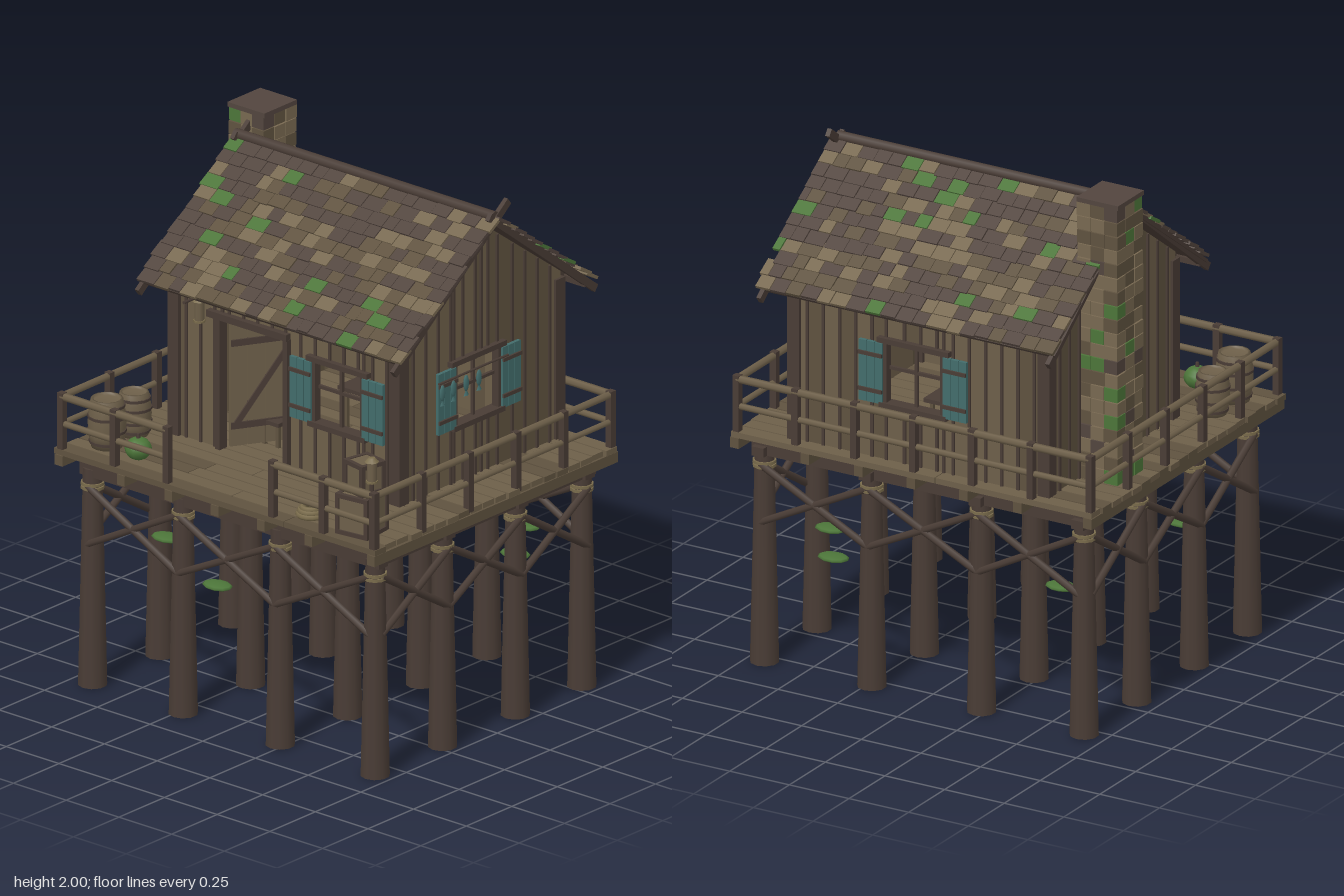
import * as THREE from 'three';
import { mergeGeometries } from 'three/addons/utils/BufferGeometryUtils.js';

const mat = (name, color) => Object.assign(new THREE.MeshStandardMaterial({ color }), { name });
const M = {
  wood: mat('weathered wood', 0x6d5f49), worn: mat('worn wood', 0x5f523f), dark: mat('dark timber', 0x493c35),
  shingle: mat('brown shingle', 0x52453e), tan: mat('tan shingle', 0x776850), moss: mat('moss green', 0x4c7539),
  teal: mat('teal paint', 0x426c6b), rope: mat('rope', 0x7a6c4c),
};
const V = (x, y, z) => new THREE.Vector3(x, y, z);

export function createModel() {
  const root = new THREE.Group();
  root.name = 'stiltCabin';
  let seed = 7;
  const rnd = () => (seed = (seed * 16807) % 2147483647) / 2147483647;
  const pick = (...pairs) => { // pick('wood', 0.5, 'dark', 0.5)
    let r = rnd();
    for (let i = 0; i < pairs.length; i += 2) if ((r -= pairs[i + 1]) <= 0) return pairs[i];
    return pairs[0];
  };

  // Collect pieces per part and colour, then merge them at the end
  const parts = new Map();
  let frame = new THREE.Matrix4();
  const add = (part, m, geo) => {
    const key = part + '|' + m, g = geo.index ? geo.toNonIndexed() : geo;
    if (!parts.has(key)) parts.set(key, []);
    parts.get(key).push(g.applyMatrix4(frame));
  };
  const box = (part, m, w, h, d, x, y, z, rx = 0, ry = 0, rz = 0) =>
    add(part, m, new THREE.BoxGeometry(w, h, d).rotateX(rx).rotateZ(rz).rotateY(ry).translate(x, y, z));
  const cyl = (part, m, rt, rb, h, x, y, z, n = 10) =>
    add(part, m, new THREE.CylinderGeometry(rt, rb, h, n).translate(x, y, z));
  const orient = (geo, p, q) => geo.applyQuaternion(new THREE.Quaternion().setFromUnitVectors(V(0, 1, 0),
    q.clone().sub(p).normalize())).translate((p.x + q.x) / 2, (p.y + q.y) / 2, (p.z + q.z) / 2);
  const rod = (part, m, p, q, r, n = 6) => add(part, m, orient(new THREE.CylinderGeometry(r, r, p.distanceTo(q), n), p, q));
  const beam = (part, m, p, q, w, d) => add(part, m, orient(new THREE.BoxGeometry(w, p.distanceTo(q), d), p, q));

  // Piles, rope lashings and main beams
  const px = [-0.66, -0.23, 0.23, 0.68], pz = [0.59, 0.22, -0.18, -0.545];
  for (const x of px) for (const z of pz) {
    cyl('piles', 'dark', 0.036, 0.054, 0.84, x, 0.42, z);
    if (x === px[0] || x === px[3] || z === pz[0] || z === pz[3])
      for (const y of [0.765, 0.78]) cyl('lashings', 'rope', 0.044, 0.044, 0.011, x, y, z);
  }
  for (const z of pz) box('beams', 'dark', 1.42, 0.055, 0.05, 0.01, 0.838, z);
  for (const x of px) box('beams', 'dark', 0.05, 0.035, 1.21, x, 0.828, 0.01);
  for (const x of [-0.74, -0.445, -0.22, 0, 0.22, 0.445, 0.74]) box('joists', 'worn', 0.036, 0.04, 1.34, x, 0.872, 0.015);

  // Cross braces between neighbouring outer piles
  for (let i = 0; i < 3; i++) for (const [a, b] of [[0.775, 0.55], [0.55, 0.775]]) {
    for (const z of [pz[0] + 0.03, pz[3] - 0.03]) rod('braces', 'dark', V(px[i], a, z), V(px[i + 1], b, z), 0.014);
    for (const x of [px[0] - 0.03, px[3] + 0.03]) rod('braces', 'dark', V(x, a, pz[i]), V(x, b, pz[i + 1]), 0.014);
  }
  // Shelf fungus on the piles
  for (const [x, z] of [[0.34, -0.63], [-0.5, -0.44], [-0.12, 0.53], [-0.56, 0.3], [0.49, -0.4]])
    add('shelfFungus', 'moss', new THREE.SphereGeometry(1, 10, 6).scale(0.062, 0.012, 0.045).translate(x, 0.505, z));

  // Deck planks, each in two lengths
  for (let i = 0; i < 20; i++) {
    const z = -0.62 + i * 0.0668, l = -0.755 - rnd() * 0.015, r = 0.745 + rnd() * 0.015, c = -0.3 + rnd() * 0.7;
    box('deck', pick('wood', 0.75, 'worn', 0.25), c - l - 0.003, 0.022, 0.06, (c + l) / 2, 0.902, z);
    box('deck', pick('wood', 0.75, 'worn', 0.25), r - c - 0.003, 0.022, 0.06, (c + r) / 2, 0.902, z);
  }

  // Railing with a gap at the front
  const rail = (x0, z0, x1, z1, n) => {
    for (const y of [1.01, 1.115]) rod('railing', 'wood', V(x0, y, z0), V(x1, y, z1), y > 1.1 ? 0.015 : 0.012);
    for (let i = 0; i <= n; i++)
      box('railPosts', 'dark', 0.026, 0.23, 0.026, x0 + (x1 - x0) * i / n, 1.015, z0 + (z1 - z0) * i / n);
  };
  rail(-0.74, 0.665, -0.24, 0.665, 2);
  rail(0.26, 0.665, 0.74, 0.665, 2);
  rail(-0.74, -0.635, 0.74, -0.635, 6);
  for (const x of [-0.74, 0.74]) rail(x, 0.665, x, -0.635, 5);

  // Walls of vertical planks, built facing +z and then turned into place
  const ridgeZ = -0.15, ridgeY = 1.9, pitch = 0.73;
  const roofY = z => ridgeY - pitch * Math.abs(z - ridgeZ);
  const wall = (turn, x, z, u0, u1, top, apex, holes) => {
    frame = new THREE.Matrix4().makeRotationY(turn).setPosition(x, 0, z);
    const cuts = [u0, u1, ...(apex === null ? [] : [apex]), ...holes.flatMap(h => [h[0], h[1]])];
    for (let u = u0 + 0.068; u < u1 - 0.03; u += 0.068) if (cuts.every(c => Math.abs(c - u) > 0.015)) cuts.push(u);
    cuts.sort((a, b) => a - b);
    for (let i = 0; i < cuts.length - 1; i++) {
      const a = cuts[i], b = cuts[i + 1], m = pick('wood', 0.7, 'worn', 0.3);
      const h = holes.find(o => a > o[0] - 0.001 && b < o[1] + 0.001);
      const spans = h ? [[0.91, h[2]], [h[3], null]] : [[0.91, null]];
      for (const [y0, y1] of spans) {
        if (y1 !== null && y1 - y0 < 0.01) continue;
        const shape = new THREE.Shape([[a, y0], [b, y0], [b, y1 ?? top(b)], [a, y1 ?? top(a)]].map(p => new THREE.Vector2(...p)));
        add('walls', m, new THREE.ExtrudeGeometry(shape, { depth: 0.02, bevelEnabled: false }).translate(0, 0, -0.02));
        const hi = (y1 ?? top(a)) - 0.005;
        if (i) box('battens', 'dark', 0.011, hi - y0, 0.008, a, (hi + y0) / 2, 0.003);
      }
    }
  };
  const trim = (w, h, u, y, d = 0.03) => box('trim', 'dark', w, h, d, u, y, 0);
  const windowSet = (a, b) => { // frame, bars and two open shutters
    const c = (a + b) / 2, w = b - a;
    trim(w + 0.06, 0.02, c, 1.38, 0.045);
    trim(w + 0.04, 0.02, c, 1.13, 0.05);
    for (const u of [a, b]) trim(0.016, 0.25, u, 1.255);
    box('windowBars', 'dark', 0.012, 0.24, 0.012, c, 1.255, -0.01);
    box('windowBars', 'dark', w, 0.012, 0.012, c, 1.27, -0.01);
    for (const u of [a - 0.056, b + 0.056]) {
      for (const s of [-0.034, 0, 0.034]) box('shutters', 'teal', 0.031, 0.235, 0.014, u + s, 1.25, 0.016);
      for (const y of [1.18, 1.32]) box('shutterBars', 'dark', 0.1, 0.014, 0.008, u, y, 0.026);
    }
  };
  const eave = () => 1.545;
  wall(0, 0, 0.29, -0.54, 0.54, eave, null, [[-0.3, 0, 0.91, 1.42], [0.14, 0.37, 1.13, 1.37]]);
  windowSet(0.14, 0.37);
  trim(0.38, 0.026, -0.17, 1.43, 0.05);
  for (const u of [-0.31, 0.01]) trim(0.022, 0.51, u, 1.165, 0.04);
  wall(Math.PI, 0, -0.59, -0.54, 0.54, eave, null, [[-0.14, 0.1, 1.13, 1.37]]);
  windowSet(-0.14, 0.1);
  wall(Math.PI / 2, 0.54, 0, -0.29, 0.59, u => roofY(-u) - 0.025, 0.15, [[0, 0.24, 1.13, 1.37]]);
  windowSet(0, 0.24);
  wall(-Math.PI / 2, -0.54, 0, -0.59, 0.29, u => roofY(u) - 0.025, -0.15, []);
  frame = new THREE.Matrix4();
  for (const x of [-0.525, 0.525]) for (const z of [0.28, -0.58]) box('cornerPosts', 'dark', 0.05, 0.62, 0.05, x, 1.22, z);

  // Door leaf swung inward, stool and table inside
  frame = new THREE.Matrix4().makeRotationY(1.05).setPosition(-0.29, 0, 0.27);
  for (let i = 0; i < 4; i++) box('door', 'wood', 0.064, 0.48, 0.016, 0.035 + i * 0.067, 1.16, 0);
  for (const y of [1.0, 1.32]) box('doorBraces', 'dark', 0.26, 0.025, 0.03, 0.135, y, 0);
  beam('doorBraces', 'dark', V(0.02, 1.0, 0), V(0.25, 1.32, 0), 0.022, 0.03);
  frame = new THREE.Matrix4();
  const table = (name, x, z, w, h) => {
    box(name, 'dark', w, 0.015, w, x, 0.91 + h, z);
    for (const i of [-1, 1]) for (const j of [-1, 1]) box(name, 'worn', 0.014, h, 0.014, x + i * w * 0.4, 0.91 + h / 2, z + j * w * 0.4);
  };
  table('stool', -0.19, 0.12, 0.08, 0.09);
  table('table', 0.0, -0.25, 0.24, 0.16);

  // Roof: sloped deck, shingle courses and rake boards on both slopes
  const tilt = Math.atan(pitch), run = 0.535;
  for (const s of [1, -1]) {
    const at = (d, lift = 0) => V(0, ridgeY - pitch * d + lift * Math.cos(tilt), ridgeZ + s * (d + lift * Math.sin(tilt)));
    const mid = at(run / 2, -0.008);
    box('roofDeck', 'dark', 1.22, 0.012, run / Math.cos(tilt), -0.01, mid.y, mid.z, s * tilt);
    for (let row = 0; row < 12; row++) {
      const p = at((row + 0.5) * run / 12, 0.009);
      for (let x = -0.63 + rnd() * 0.015; x < 0.605;) {
        const w = Math.min(0.05 + rnd() * 0.04, 0.635 - x), long = 0.064 + rnd() * 0.012;
        box('shingles', pick('shingle', 0.56, 'worn', 0.18, 'tan', 0.2, 'moss', 0.06), w - 0.003, 0.012, long,
          x + w / 2, p.y + rnd() * 0.004, p.z, s * (tilt - 0.09));
        x += w;
      }
    }
    for (const x of [-0.605, 0.605]) {
      const p = at(s > 0 ? -0.075 : -0.03, 0.0), q = at(run + 0.03, -0.02);
      beam('rakeBoards', 'dark', p.setX(x), q.setX(x), 0.018, 0.03);
    }
    const e = at(run - 0.02, -0.025);
    box('eaveBoards', 'dark', 1.22, 0.022, 0.02, 0, e.y, e.z);
    // Rafters under the overhang
    for (let x = -0.5; x <= 0.51; x += 0.2)
      beam('rafters', 'dark', at(0, -0.025).setX(x), at(run - 0.03, -0.025).setX(x), 0.022, 0.022);
  }
  rod('ridgePole', 'dark', V(-0.62, 1.915, ridgeZ), V(0.61, 1.915, ridgeZ), 0.021, 8);

  // Chimney: rings of stones around a core
  box('chimneyCore', 'dark', 0.145, 1.085, 0.155, -0.615, 1.452, -0.29);
  for (let r = 0; r < 20; r++) for (let i = -1; i <= 1; i++) for (let j = -1; j <= 1; j++) {
    if (!i && !j) continue;
    const g = 0.004 + rnd() * 0.008;
    box('chimneyStones', pick('tan', 0.45, 'worn', 0.3, 'shingle', 0.1, 'moss', 0.15), 0.055, 0.05, 0.058,
      -0.615 + i * (0.052 + g / 2), 0.937 + r * 0.0537, -0.29 + j * (0.056 + g / 2));
  }
  box('chimneyCap', 'shingle', 0.175, 0.018, 0.18, -0.615, 1.991, -0.29);

  // Barrels with hoops
  for (const [x, z, r, h] of [[-0.635, 0.54, 0.07, 0.185], [-0.635, 0.39, 0.063, 0.165]]) {
    const prof = [[0, 0], [0.82, 0], [0.95, 0.25], [1, 0.5], [0.95, 0.75], [0.84, 1], [0.72, 1], [0.72, 0.94], [0, 0.94]];
    add('barrels', 'wood', new THREE.LatheGeometry(prof.map(p => new THREE.Vector2(p[0] * r, p[1] * h)), 14).translate(x, 0.913, z));
    for (const [t, k] of [[0.12, 0.91], [0.35, 1], [0.65, 1], [0.88, 0.93]])
      add('barrelHoops', 'dark', new THREE.CylinderGeometry(k * r + 0.002, k * r + 0.002, 0.01, 14, 1).translate(x, 0.913 + t * h * 0.98, z));
  }

  // Two stacked crates
  const crate = (x, y, z, w, h, turn) => {
    frame = new THREE.Matrix4().makeRotationY(turn).setPosition(x, y + h / 2, z);
    box('crates', 'wood', w - 0.014, h - 0.006, w - 0.014, 0, 0, 0);
    for (const i of [-1, 1]) for (const j of [-1, 1]) {
      box('crateFrames', 'dark', 0.016, h, 0.016, i * (w / 2 - 0.008), 0, j * (w / 2 - 0.008));
      box('crateFrames', 'dark', w, 0.016, 0.016, 0, i * (h / 2 - 0.008), j * (w / 2 - 0.008));
      box('crateFrames', 'dark', 0.016, 0.016, w, i * (w / 2 - 0.008), j * (h / 2 - 0.008), 0);
    }
    frame = new THREE.Matrix4();
  };
  crate(0.595, 0.913, 0.565, 0.14, 0.155, 0.12);
  crate(0.6, 1.068, 0.555, 0.11, 0.12, -0.2);

  // Gourd and coiled rope on the porch
  add('gourd', 'moss', new THREE.SphereGeometry(0.05, 10, 8).scale(1, 0.85, 1).translate(-0.465, 0.955, 0.565));
  cyl('gourdStem', 'dark', 0.006, 0.01, 0.025, -0.465, 1.0, 0.565, 6);
  [[0.048, 0.922], [0.042, 0.935], [0.033, 0.946]].forEach(([r, y]) =>
    add('ropeCoil', 'rope', new THREE.TorusGeometry(r, 0.011, 6, 16).rotateX(Math.PI / 2).translate(0.36, y, 0.57)));

  // Lanterns: one on the corner post, one hung under the eave
  for (const [x, y, z] of [[0.72, 1.165, 0.655], [-0.37, 1.405, 0.34]]) {
    cyl('lanterns', 'wood', 0.018, 0.018, 0.08, x, y + 0.04, z, 8);
    cyl('lanternCaps', 'rope', 0.012, 0.027, 0.016, x, y + 0.085, z, 8);
    cyl('lanternCaps', 'rope', 0.022, 0.022, 0.008, x, y, z, 8);
  }
  cyl('lanternStand', 'dark', 0.008, 0.008, 0.06, 0.72, 1.135, 0.655, 6);
  rod('lanternHook', 'dark', V(-0.37, 1.5, 0.27), V(-0.37, 1.5, 0.425), 0.006);

  // Fish drying on a line beside the side window
  rod('dryingLine', 'dark', V(0.585, 1.345, 0.13), V(0.585, 1.345, -0.25), 0.005);
  for (const z of [0.11, 0.05, -0.02, -0.09]) {
    add('fish', 'teal', new THREE.SphereGeometry(1, 8, 6).scale(0.007, 0.032, 0.014).translate(0.585, 1.305, z));
    add('fish', 'teal', new THREE.ConeGeometry(0.014, 0.025, 4).scale(0.5, 1, 1).translate(0.585, 1.27, z));
  }

  for (const [key, list] of parts) {
    const [name, m] = key.split('|'), mesh = new THREE.Mesh(mergeGeometries(list), M[m]);
    mesh.name = name;
    root.add(mesh);
  }
  return root;
}
